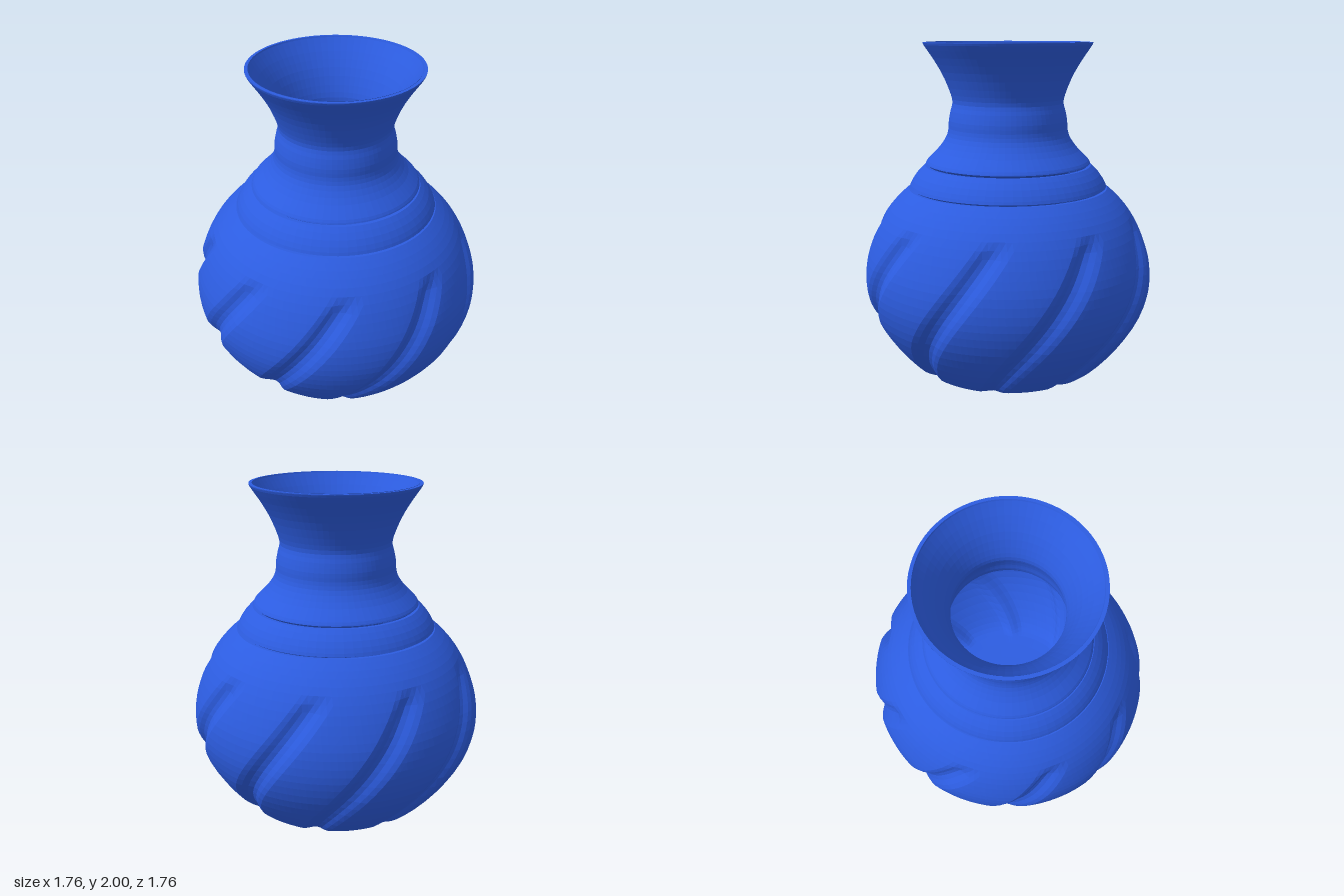
import * as THREE from 'three';

const WALL = 0.02;
const GROOVES = 9;
const material = new THREE.MeshStandardMaterial({ color: 0x2c5ce0, flatShading: true, side: THREE.DoubleSide });

// Smooth a few profile points, then fold an inner wall back down to close the section
function wallSection(points, steps) {
  const outer = new THREE.SplineCurve(points.map(([r, y]) => new THREE.Vector2(r, y))).getPoints(steps);
  const inner = outer.map((p, i) => {
    const a = outer[Math.max(i - 1, 0)], b = outer[Math.min(i + 1, steps)];
    const t = b.clone().sub(a).normalize();
    return new THREE.Vector2(Math.max(p.x - t.y * WALL, 0.02), p.y + t.x * WALL);
  });
  // Keep the inner lip level with the outer lip
  inner[steps].set(outer[steps].x - WALL, outer[steps].y);
  return [...outer, ...inner.reverse(), outer[0].clone()];
}

function turned(name, points, steps, segments) {
  const mesh = new THREE.Mesh(new THREE.LatheGeometry(wallSection(points, steps), segments), material);
  mesh.name = name;
  return mesh;
}

// Twist the columns with height and press a rounded groove into every ninth of the turn
function carveGrooves(geometry) {
  const pos = geometry.attributes.position;
  const pitch = 2 * Math.PI / GROOVES;
  const halfWidth = THREE.MathUtils.degToRad(8);
  for (let i = 0; i < pos.count; i++) {
    const x = pos.getX(i), y = pos.getY(i), z = pos.getZ(i);
    const r = Math.hypot(x, z), angle = Math.atan2(x, z);
    const d = Math.abs(angle - Math.round(angle / pitch) * pitch);
    const shape = d < halfWidth ? 0.5 + 0.5 * Math.cos(Math.PI * d / halfWidth) : 0;
    const fade = THREE.MathUtils.smoothstep(r, 0.42, 0.6) * (1 - THREE.MathUtils.smoothstep(y, 0.86, 1.0));
    const radius = r - 0.04 * shape * fade;
    const turn = angle + THREE.MathUtils.degToRad(2 + 48 * y);
    pos.setXYZ(i, radius * Math.sin(turn), y, radius * Math.cos(turn));
  }
  geometry.computeVertexNormals();
}

export function createModel() {
  const vase = new THREE.Group();
  vase.name = 'vase';

  // Round body with a small drain hole in the floor
  const body = turned('body', [
    [0.02, 0], [0.25, 0], [0.48, 0.005], [0.57, 0.03], [0.65, 0.1], [0.75, 0.225], [0.83, 0.36],
    [0.87, 0.48], [0.882, 0.58], [0.873, 0.69], [0.845, 0.79], [0.8, 0.9], [0.74, 1.0],
    [0.67, 1.08], [0.605, 1.137],
  ], 32, GROOVES * 16);
  carveGrooves(body.geometry);

  // Separate shoulder ring
  const shoulder = turned('shoulderRing', [
    [0.6, 1.147], [0.585, 1.18], [0.55, 1.23], [0.505, 1.274],
  ], 5, 72);

  // Neck with a collar, a waist and a flared mouth
  const neck = turned('neck', [
    [0.5, 1.287], [0.485, 1.31], [0.42, 1.375], [0.375, 1.44], [0.36, 1.49], [0.357, 1.54],
    [0.345, 1.6], [0.333, 1.65], [0.347, 1.71], [0.388, 1.81], [0.44, 1.9], [0.494, 1.98], [0.502, 2.0],
  ], 26, 72);

  vase.add(body, shoulder, neck);
  return vase;
}
